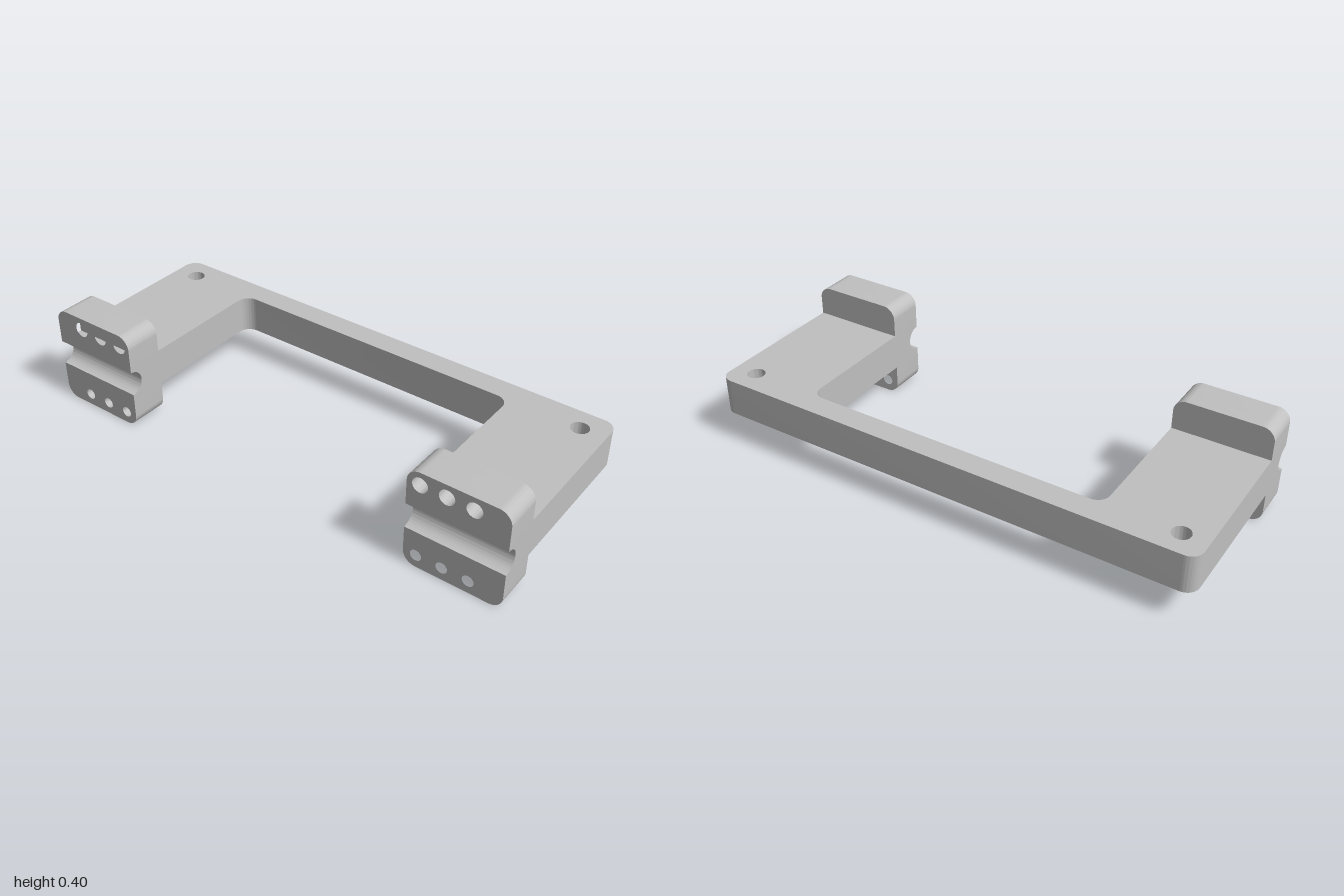
import * as THREE from 'three';
import { toCreasedNormals } from 'three/addons/utils/BufferGeometryUtils.js';

const metal = new THREE.MeshStandardMaterial({ color: 0xc0c0c0 });
metal.name = 'grey metal';

// Closed outline of [x, y, radius] corners; right-angle corners are rounded by quarter arcs
function outline(corners) {
  const shape = new THREE.Shape();
  const n = corners.length;
  const at = (i) => new THREE.Vector2(corners[(i + n) % n][0], corners[(i + n) % n][1]);
  for (let i = 0; i < n; i++) {
    const p = at(i), r = corners[i][2] || 0;
    const towards = (q, d) => p.clone().add(q.clone().sub(p).setLength(d));
    const a = towards(at(i - 1), r), b = towards(at(i + 1), r);
    if (i === 0) shape.moveTo(a.x, a.y); else shape.lineTo(a.x, a.y);
    if (r > 0) {
      const c = towards(at(i - 1), r * 0.4477), d = towards(at(i + 1), r * 0.4477);
      shape.bezierCurveTo(c.x, c.y, d.x, d.y, b.x, b.y);
    }
  }
  shape.closePath();
  return shape;
}

function drill(shape, x, y, r) {
  const hole = new THREE.Path();
  hole.absarc(x, y, r, 0, Math.PI * 2, true);
  shape.holes.push(hole);
}

function extrude(shape, depth) {
  return new THREE.ExtrudeGeometry(shape, { depth, bevelEnabled: false, curveSegments: 20 });
}

function part(name, geometry) {
  const mesh = new THREE.Mesh(toCreasedNormals(geometry, 0.5), metal);
  mesh.name = name;
  return mesh;
}

const R = 0.05, INNER = 0.62, BACK = 0.235, FRONT = 0.385;

// Flat U-shaped plate with a mounting hole in each back corner
function buildFrame() {
  const shape = outline([
    [-1, -BACK], [-INNER, -BACK], [-INNER, 0.29, R], [INNER, 0.29, R],
    [INNER, -BACK], [1, -BACK], [1, FRONT, R], [-1, FRONT, R],
  ]);
  for (const s of [-1, 1]) drill(shape, s * 0.9, 0.29, 0.035);
  return part('frame', extrude(shape, 0.15).rotateX(-Math.PI / 2).translate(0, 0.125, 0));
}

// Upright clamp block on the end of one arm
function buildClamp(s) {
  const clamp = new THREE.Group();
  clamp.name = s > 0 ? 'leftClamp' : 'rightClamp';
  const holeXs = [0.67, 0.77, 0.87];
  const half = (inner, outer) => outline([
    [s * INNER, inner], [s * 1, inner], [s * 1, outer, R], [s * INNER, outer, R],
  ]);

  // Upper half: blind holes stop at a solid back layer
  const pocketed = half(0.25, 0.4);
  for (const x of holeXs) drill(pocketed, s * x, 0.35, 0.03);
  clamp.add(part('clampUpperBack', extrude(half(0.25, 0.4), 0.05).translate(0, 0, BACK)));
  clamp.add(part('clampUpperFront', extrude(pocketed, 0.1).translate(0, 0, BACK + 0.05)));

  // Lower half: smaller holes go right through
  const drilled = half(0.15, 0);
  for (const x of holeXs) drill(drilled, s * x, 0.05, 0.022);
  clamp.add(part('clampLower', extrude(drilled, FRONT - BACK).translate(0, 0, BACK)));

  // Middle: half-round groove running across the front
  const profile = new THREE.Shape();
  profile.moveTo(BACK, 0.15);
  profile.lineTo(FRONT, 0.15);
  profile.absarc(FRONT, 0.2, 0.05, -Math.PI / 2, Math.PI / 2, true);
  profile.lineTo(BACK, 0.25);
  profile.closePath();
  clamp.add(part('clampGroove',
    extrude(profile, 1 - INNER).rotateY(-Math.PI / 2).translate(s > 0 ? 1 : -INNER, 0, 0)));
  return clamp;
}

export function createModel() {
  const model = new THREE.Group();
  model.name = 'clampBracket';
  model.add(buildFrame(), buildClamp(1), buildClamp(-1));
  return model;
}
